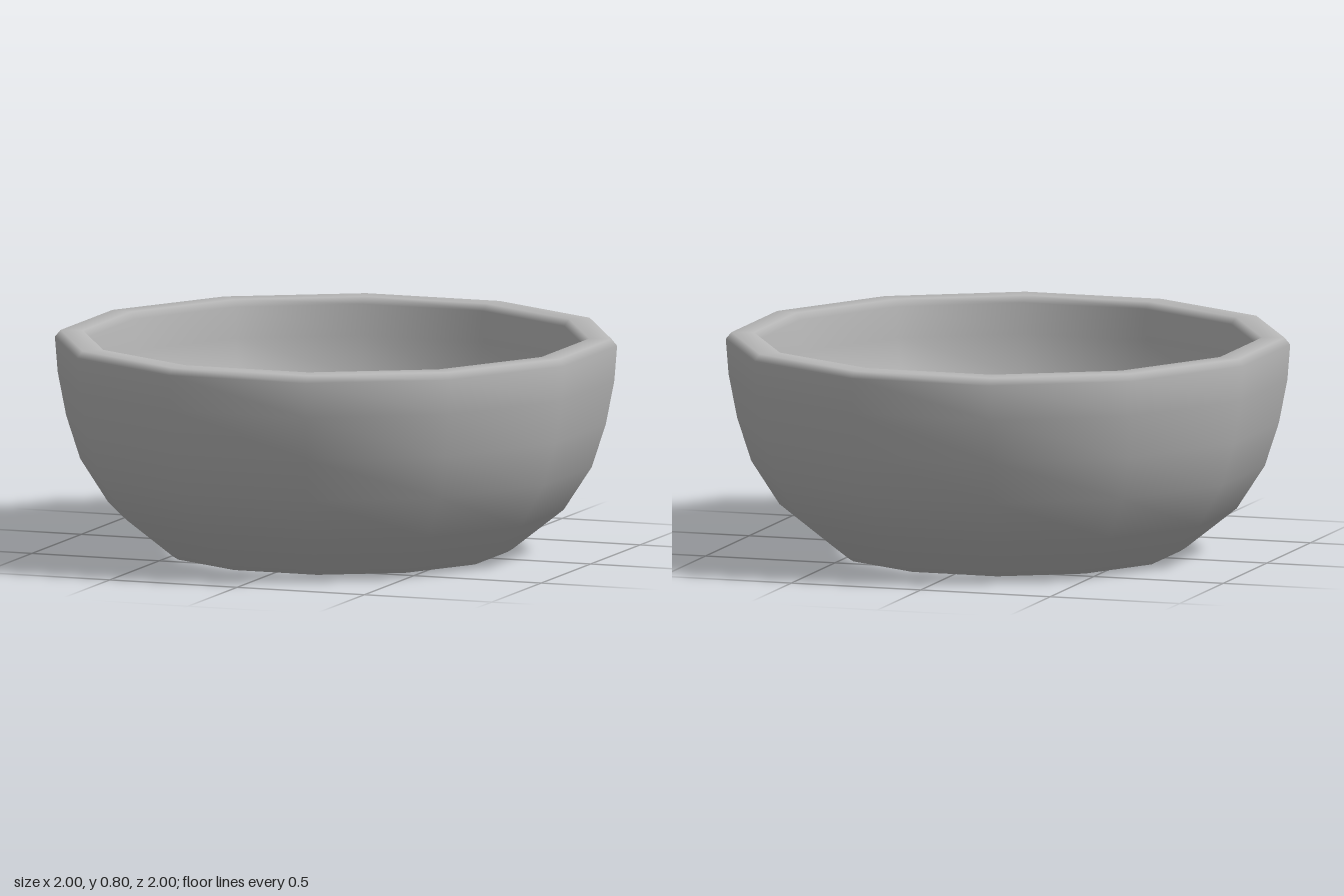
import * as THREE from 'three';
import { mergeVertices } from 'three/addons/utils/BufferGeometryUtils.js';

const SIDES = 12;

// Closed wall section: [distance to the flat of a side, height]
const SECTION = [
  [0.61, 0], [0.63, 0.013], // foot edge
  [0.81, 0.16], [0.91, 0.32], [0.96, 0.48], [0.99, 0.64], [1.0, 0.77], // outer wall
  [0.98, 0.795], [0.9, 0.795], [0.882, 0.77], // rounded rim
  [0.878, 0.655], [0.852, 0.51], [0.808, 0.37], [0.725, 0.23], // inner wall
  [0.58, 0.085], [0.57, 0.06], [0.61, 0], // edge of the open base
];

export function createModel() {
  const group = new THREE.Group();
  group.name = 'openBowl';

  const grey = new THREE.MeshStandardMaterial({ color: 0xb8b8b8 });
  grey.name = 'plain grey';

  // Twelve-sided ring, turned so flat sides face the axes
  const toCorner = 1 / Math.cos(Math.PI / SIDES);
  const points = SECTION.map(([r, y]) => new THREE.Vector2(r * toCorner, y));
  let geometry = new THREE.LatheGeometry(points, SIDES, Math.PI / SIDES);

  // Weld the seams and smooth the whole surface
  geometry.deleteAttribute('normal');
  geometry.deleteAttribute('uv');
  geometry = mergeVertices(geometry, 1e-4);
  geometry.computeVertexNormals();

  const bowl = new THREE.Mesh(geometry, grey);
  bowl.name = 'bowlWall';
  group.add(bowl);
  return group;
}
